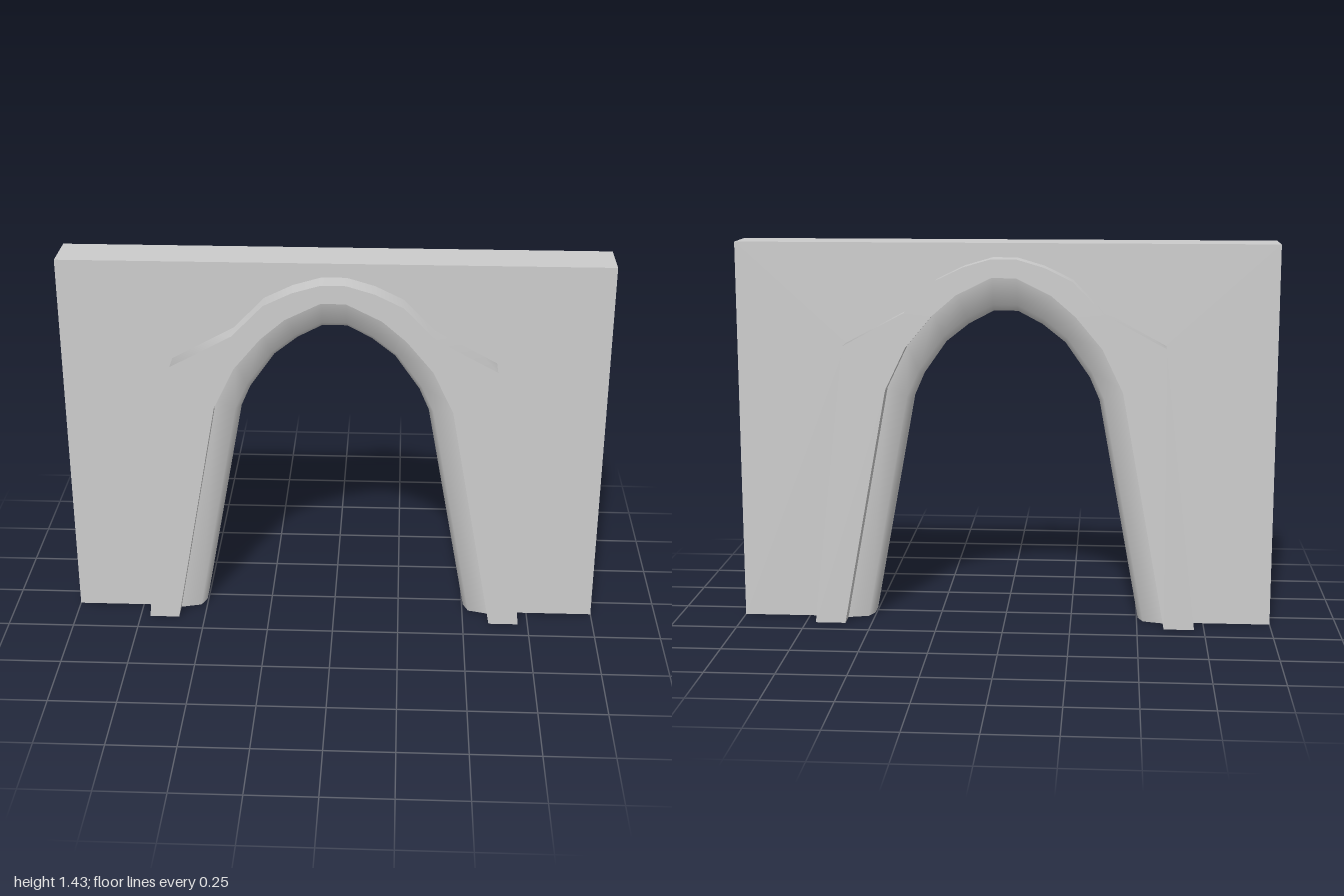
import * as THREE from 'three';
import { toCreasedNormals } from 'three/addons/utils/BufferGeometryUtils.js';

const WALL_DEPTH = 0.174, FRAME_DEPTH = 0.344, WALL_HEIGHT = 1.43, CREASE = 1.1;

// Half profiles, from the foot to the crown
const FRAME_OUTER = [[0.713, 0], [0.592, 1.057], [0.365, 1.18], [0.25, 1.298], [0.147, 1.348], [0.045, 1.378]];
const FRAME_INNER = [[0.6, 0], [0.436, 0.895], [0.36, 1.053], [0.262, 1.17], [0.174, 1.246], [0.045, 1.31]];
const LINING_INNER = [[0.505, 0], [0.35, 0.845], [0.313, 0.93], [0.222, 1.06], [0.136, 1.128], [0.045, 1.176]];

// Lining cross-section: [share of the way from frame to opening, z]
const LINING_SECTION = [[0, 0.1], [0.8, 0.08], [1, 0.036], [1, -0.036], [0.8, -0.08], [0, -0.1]];

// Whole arch from the -x foot over the crown to the +x foot
function fullArch(half) {
  return [...half.map(([x, y]) => [-x, y]), ...half.slice().reverse()];
}

function slab(points, depth) {
  const shape = new THREE.Shape(points.map(([x, y]) => new THREE.Vector2(x, y)));
  const geometry = new THREE.ExtrudeGeometry(shape, { depth, bevelEnabled: false });
  geometry.translate(0, 0, -depth / 2);
  return toCreasedNormals(geometry, CREASE);
}

// Rounded lining swept along the arch, closed at both feet
function liningGeometry() {
  const outer = fullArch(FRAME_INNER), inner = fullArch(LINING_INNER);
  const rings = outer.map(([x, y], i) => LINING_SECTION.map(([t, z]) => [
    x + (inner[i][0] - x) * t, y + (inner[i][1] - y) * t, z,
  ]));
  const positions = [];
  const triangle = (a, b, c) => positions.push(...a, ...b, ...c);
  for (let i = 0; i < rings.length - 1; i++) {
    for (let j = 0; j < LINING_SECTION.length - 1; j++) {
      const a = rings[i][j], b = rings[i + 1][j], c = rings[i][j + 1], d = rings[i + 1][j + 1];
      triangle(a, c, b);
      triangle(b, c, d);
    }
  }
  const first = rings[0], last = rings[rings.length - 1];
  for (let j = 1; j < LINING_SECTION.length - 1; j++) {
    triangle(first[0], first[j + 1], first[j]);
    triangle(last[0], last[j], last[j + 1]);
  }
  const geometry = new THREE.BufferGeometry();
  geometry.setAttribute('position', new THREE.Float32BufferAttribute(positions, 3));
  return toCreasedNormals(geometry, CREASE);
}

export function createModel() {
  const group = new THREE.Group();
  group.name = 'archedDoorwayWall';
  const material = new THREE.MeshStandardMaterial({ color: 0xcccccc });
  const add = (name, geometry) => {
    const mesh = new THREE.Mesh(geometry, material);
    mesh.name = name;
    group.add(mesh);
  };

  // Wall around the frame
  const wall = [[-1, 0], ...fullArch(FRAME_OUTER), [1, 0], [1, WALL_HEIGHT], [-1, WALL_HEIGHT]];
  add('wall', slab(wall, WALL_DEPTH));

  // Raised frame on both faces
  const frame = [...fullArch(FRAME_OUTER), ...fullArch(FRAME_INNER).reverse()];
  add('archFrame', slab(frame, FRAME_DEPTH));

  // Rounded moulding inside the opening
  add('archLining', liningGeometry());

  return group;
}
